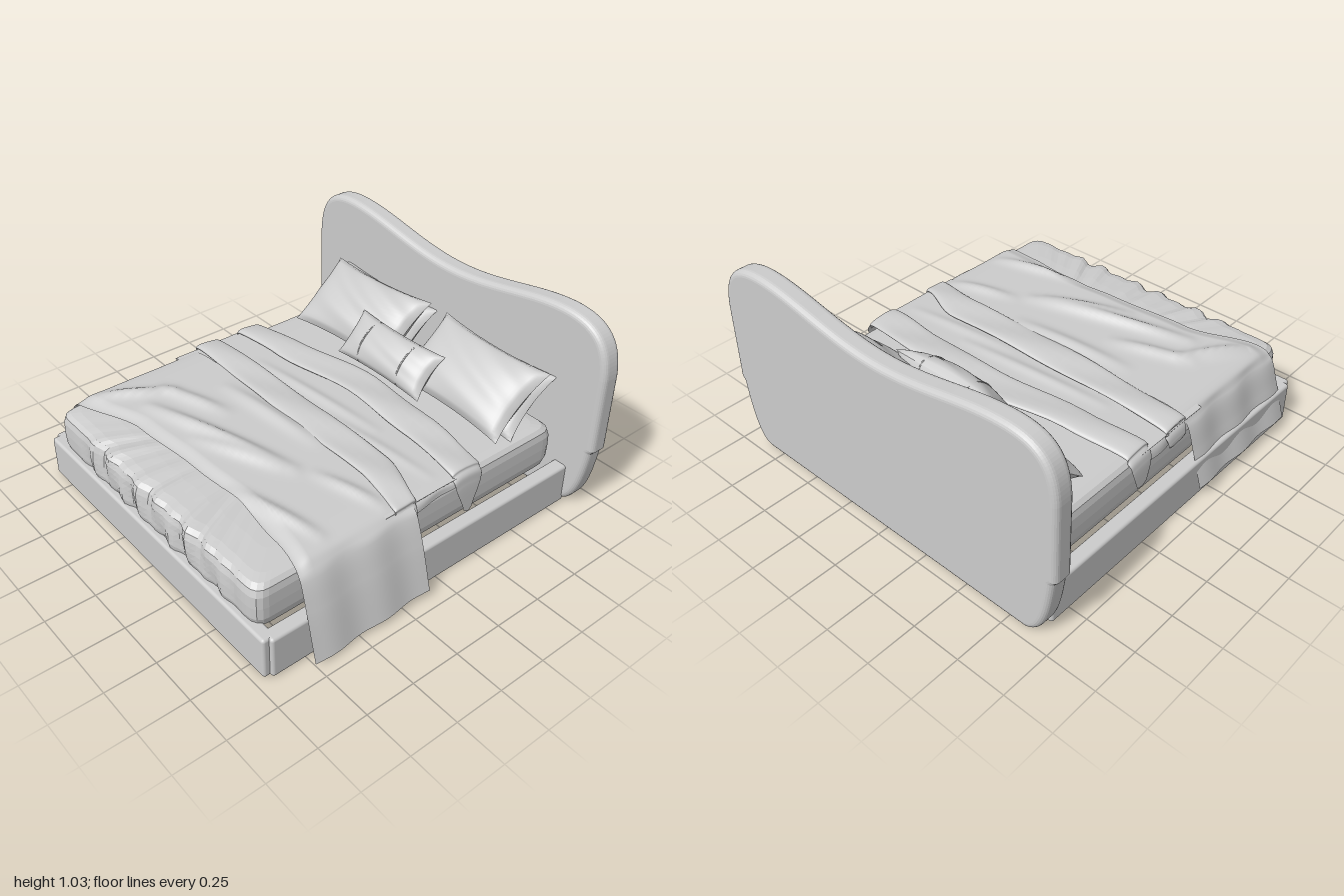
import * as THREE from 'three';
import { mergeGeometries } from 'three/addons/utils/BufferGeometryUtils.js';
import { RoundedBoxGeometry } from 'three/addons/geometries/RoundedBoxGeometry.js';
import { ParametricGeometry } from 'three/addons/geometries/ParametricGeometry.js';

const { smoothstep, lerp } = THREE.MathUtils;

// smooth curve through [a, b] pairs
const curve = (pts) => new THREE.SplineCurve(pts.map(([a, b]) => new THREE.Vector2(a, b)));

// piecewise smooth lookup of b for a given a
function lookup(pts, a) {
  let i = 0;
  while (i < pts.length - 2 && a > pts[i + 1][0]) i++;
  const [a0, b0] = pts[i], [a1, b1] = pts[i + 1];
  return lerp(b0, b1, smoothstep(a, a0, a1));
}

// height of a soft crease running along a segment
function crease(x, z, [x0, z0, x1, z1, height, width]) {
  const dx = x1 - x0, dz = z1 - z0;
  const t = THREE.MathUtils.clamp(((x - x0) * dx + (z - z0) * dz) / (dx * dx + dz * dz), 0, 1);
  const d = Math.hypot(x - x0 - t * dx, z - z0 - t * dz);
  return height * Math.sin(Math.PI * (0.1 + 0.8 * t)) * Math.exp(-((d / width) ** 2));
}

// cloth draped across the bed: section in x/y, front and back edges in x/z
function drapedCloth(section, front, back, creases, hem = 0) {
  const path = curve(section);
  return new ParametricGeometry((u, v, p) => {
    const s = path.getPoint(u);
    const z = lerp(lookup(front, s.x), lookup(back, s.x), v);
    const top = smoothstep(s.y, 0.37, 0.44);
    let y = s.y - top * hem * (1 - smoothstep(v, 0, 0.12));
    for (const c of creases) y += top * crease(s.x, z, c);
    y += (1 - top) * 0.03 * v * u;
    const ripple = (1 - top) * 0.006 * Math.sin(z * 22);
    p.set(s.x + ripple, y, z);
  }, 110, 50);
}

// rolled-over cloth: flattened loop swept across the bed
function foldedBand(section, middle, halfWidth, thickness) {
  const path = curve(section);
  return new ParametricGeometry((u, v, p) => {
    const s = path.getPoint(u), a = v * Math.PI * 2;
    const w = lookup(halfWidth, s.x) * lerp(0.25, 1, smoothstep(s.y, 0.2, 0.42));
    const end = smoothstep(Math.min(u, 1 - u), 0, 0.02);
    const c = Math.cos(a);
    const z = lookup(middle, s.x) + w * Math.sign(c) * Math.sqrt(Math.abs(c)) * end;
    const ruffle = 0.005 * Math.sin(s.x * 9 + z * 25);
    p.set(s.x, s.y + (thickness * Math.sin(a) + ruffle) * end, z);
  }, 80, 28);
}

// cushion with pinched edges and pointed corners
function cushion(width, height, depth, wrinkle) {
  const halves = [1, -1].map((side) => {
    const g = new THREE.PlaneGeometry(2, 2, 36, 28);
    const pos = g.attributes.position;
    for (let i = 0; i < pos.count; i++) {
      const u = pos.getX(i), v = pos.getY(i);
      const swell = Math.sqrt(Math.max(0, (1 - u * u) * (1 - v * v)));
      const z = depth * swell ** 0.85 + wrinkle * swell * Math.sin(5 * u + 9 * v + 3 * u * v);
      const x = u * width / 2 * (1 - 0.07 * (1 - v * v));
      pos.setXYZ(i, side * x, v * height / 2 * (1 - 0.1 * (1 - u * u)), side * z);
    }
    g.computeVertexNormals();
    return g;
  });
  return mergeGeometries(halves);
}

// fitted mattress cover, open underneath, with gathers on the foot end
function mattressShell() {
  const x0 = -0.82, x1 = 0.78, z0 = -0.84, z1 = 0.935, r = 0.07;
  const outline = new THREE.Shape();
  outline.moveTo(x0 + r, z0).lineTo(x1 - r, z0).quadraticCurveTo(x1, z0, x1, z0 + r);
  outline.lineTo(x1, z1 - r).quadraticCurveTo(x1, z1, x1 - r, z1).lineTo(x0 + r, z1);
  outline.quadraticCurveTo(x0, z1, x0, z1 - r).lineTo(x0, z0 + r).quadraticCurveTo(x0, z0, x0 + r, z0);
  const around = 240, ring = outline.getSpacedPoints(around);
  // [inset fraction, height]
  const profile = [[0.015, 0.2], [0.002, 0.24], [0, 0.3], [0.002, 0.36], [0.012, 0.392],
    [0.035, 0.41], [0.08, 0.418], [0.2, 0.424], [0.4, 0.426], [0.7, 0.428], [1, 0.428]];
  const steps = profile.length - 1;
  return new ParametricGeometry((u, v, p) => {
    const q = ring[Math.round(u * around) % around];
    const k = Math.min(steps, Math.floor(v * steps + 1e-6)), f = Math.max(0, v * steps - k);
    const a = profile[k], b = profile[Math.min(k + 1, steps)];
    const inset = lerp(a[0], b[0], f), y = lerp(a[1], b[1], f);
    const gather = smoothstep(q.y, 0.9, 0.93) * (1 - smoothstep(Math.abs(q.x), 0.4, 0.75)) * (1 - smoothstep(inset, 0.1, 0.4));
    const fold = gather * 0.008 * (Math.sin(q.x * 48) + Math.sin(q.x * 31 + y * 14));
    p.set(lerp(q.x, -0.02, inset), y + fold * 0.5, lerp(q.y, 0.05, inset) + fold);
  }, around, steps * 2);
}

function headboardGeometry() {
  const s = new THREE.Shape();
  s.moveTo(-0.84, 0);
  s.lineTo(0.84, 0);
  s.bezierCurveTo(0.93, 0.02, 0.96, 0.15, 0.98, 0.34);
  s.lineTo(0.998, 0.36);
  s.lineTo(0.998, 0.76);
  s.bezierCurveTo(0.99, 0.95, 0.9, 1.025, 0.72, 1.027);
  s.bezierCurveTo(0.5, 1.027, 0.28, 0.932, 0, 0.932);
  s.bezierCurveTo(-0.28, 0.932, -0.5, 1.027, -0.74, 1.027);
  s.bezierCurveTo(-0.91, 1.025, -0.99, 0.95, -0.998, 0.76);
  s.lineTo(-0.998, 0.36);
  s.lineTo(-0.98, 0.34);
  s.bezierCurveTo(-0.96, 0.15, -0.93, 0.02, -0.84, 0);
  const g = new THREE.ExtrudeGeometry(s, {
    depth: 0.05, curveSegments: 24, bevelThickness: 0.03, bevelSize: 0.03, bevelOffset: -0.03, bevelSegments: 5,
  });
  return g.translate(0, 0, -0.927);
}

export function createModel() {
  const group = new THREE.Group();
  const fabric = new THREE.MeshStandardMaterial({ color: 0xcccccc, side: THREE.DoubleSide });
  fabric.name = 'light grey';
  const add = (name, geometry, x = 0, y = 0, z = 0) => {
    const mesh = new THREE.Mesh(geometry, fabric);
    mesh.name = name;
    mesh.position.set(x, y, z);
    group.add(mesh);
    return mesh;
  };

  // frame
  add('headboard', headboardGeometry());
  add('footRail', new RoundedBoxGeometry(1.74, 0.215, 0.07, 4, 0.015), -0.02, 0.1075, 0.922);
  for (const side of [-1, 1]) {
    add('sideRail', new RoundedBoxGeometry(0.075, 0.215, 1.79, 4, 0.015), -0.02 + side * 0.852, 0.1075, 0.03);
  }

  // bedding
  add('mattress', mattressShell());
  add('duvet', drapedCloth(
    [[-0.83, 0.36], [-0.815, 0.41], [-0.75, 0.436], [0, 0.445], [0.71, 0.436], [0.775, 0.41], [0.79, 0.36]],
    [[-0.84, 0.25], [0.8, 0.25]], [[-0.84, -0.2], [0, -0.3], [0.8, -0.23]],
    [[-0.5, -0.05, 0.3, -0.12, 0.012, 0.03], [0.1, -0.02, 0.7, -0.08, 0.01, 0.03]]));
  add('throwBlanket', drapedCloth(
    [[-0.935, 0.07], [-0.88, 0.25], [-0.83, 0.39], [-0.75, 0.446], [-0.4, 0.456], [0, 0.46],
      [0.4, 0.455], [0.7, 0.446], [0.8, 0.4], [0.87, 0.24], [0.935, 0.01]],
    [[-0.94, 0.85], [-0.8, 0.84], [-0.4, 0.72], [0, 0.69], [0.3, 0.67], [0.6, 0.7], [0.94, 0.75]],
    [[-0.94, 0.14], [0, 0.11], [0.5, 0.07], [0.94, 0.11]],
    [[-0.75, 0.75, -0.55, 0.45, 0.03, 0.04], [-0.6, 0.47, -0.25, 0.35, 0.025, 0.04],
      [-0.5, 0.6, 0.3, 0.37, 0.035, 0.04], [-0.15, 0.58, 0.25, 0.42, 0.022, 0.035],
      [0.25, 0.66, 0.7, 0.55, 0.025, 0.035], [0.4, 0.31, 0.72, 0.22, 0.02, 0.035],
      [-0.4, 0.22, 0.2, 0.17, 0.02, 0.04]], 0.02));
  add('lowerFold', foldedBand(
    [[-0.845, 0.36], [-0.825, 0.41], [-0.74, 0.452], [0, 0.462], [0.7, 0.45], [0.79, 0.41], [0.82, 0.34]],
    [[-0.84, 0.055], [0, 0.07], [0.5, 0.07], [0.82, 0.14]],
    [[-0.84, 0.07], [0, 0.085], [0.5, 0.085], [0.8, 0.06]], 0.014));
  add('upperFold', foldedBand(
    [[-0.845, 0.27], [-0.84, 0.37], [-0.815, 0.42], [-0.72, 0.452], [0, 0.468],
      [0.68, 0.45], [0.78, 0.42], [0.8, 0.36], [0.805, 0.22]],
    [[-0.84, -0.2], [-0.5, -0.23], [0, -0.3], [0.4, -0.28], [0.8, -0.24]],
    [[-0.84, 0.07], [0, 0.09], [0.8, 0.085]], 0.015));

  // pillows: [name, width, height, depth, wrinkle, x, y, z, lean, roll]
  const pillows = [
    ['backPillow', 0.7, 0.38, 0.08, 0.004, -0.4, 0.535, -0.71, 0.85, 0],
    ['backPillow', 0.7, 0.38, 0.08, 0.004, 0.39, 0.535, -0.71, 0.85, 0],
    ['frontPillow', 0.69, 0.41, 0.09, 0.007, -0.4, 0.575, -0.645, 0.9, 0.035],
    ['frontPillow', 0.69, 0.41, 0.09, 0.004, 0.39, 0.575, -0.645, 0.9, -0.025],
    ['lumbarPillow', 0.59, 0.25, 0.075, 0.002, -0.01, 0.56, -0.49, 0.75, 0],
  ];
  for (const [name, w, h, d, wrinkle, x, y, z, lean, roll] of pillows) {
    add(name, cushion(w, h, d, wrinkle), x, y, z).rotation.set(-lean, 0, roll);
  }

  // raised seams on the lumbar pillow
  for (const x of [-0.15, 0.13]) {
    const seam = add('pillowSeam', new THREE.TorusGeometry(1, 0.04, 6, 40), x, 0.56, -0.49);
    seam.geometry.scale(0.069, 0.112, 0.1).rotateY(Math.PI / 2);
    seam.rotation.x = -0.75;
  }
  return group;
}
